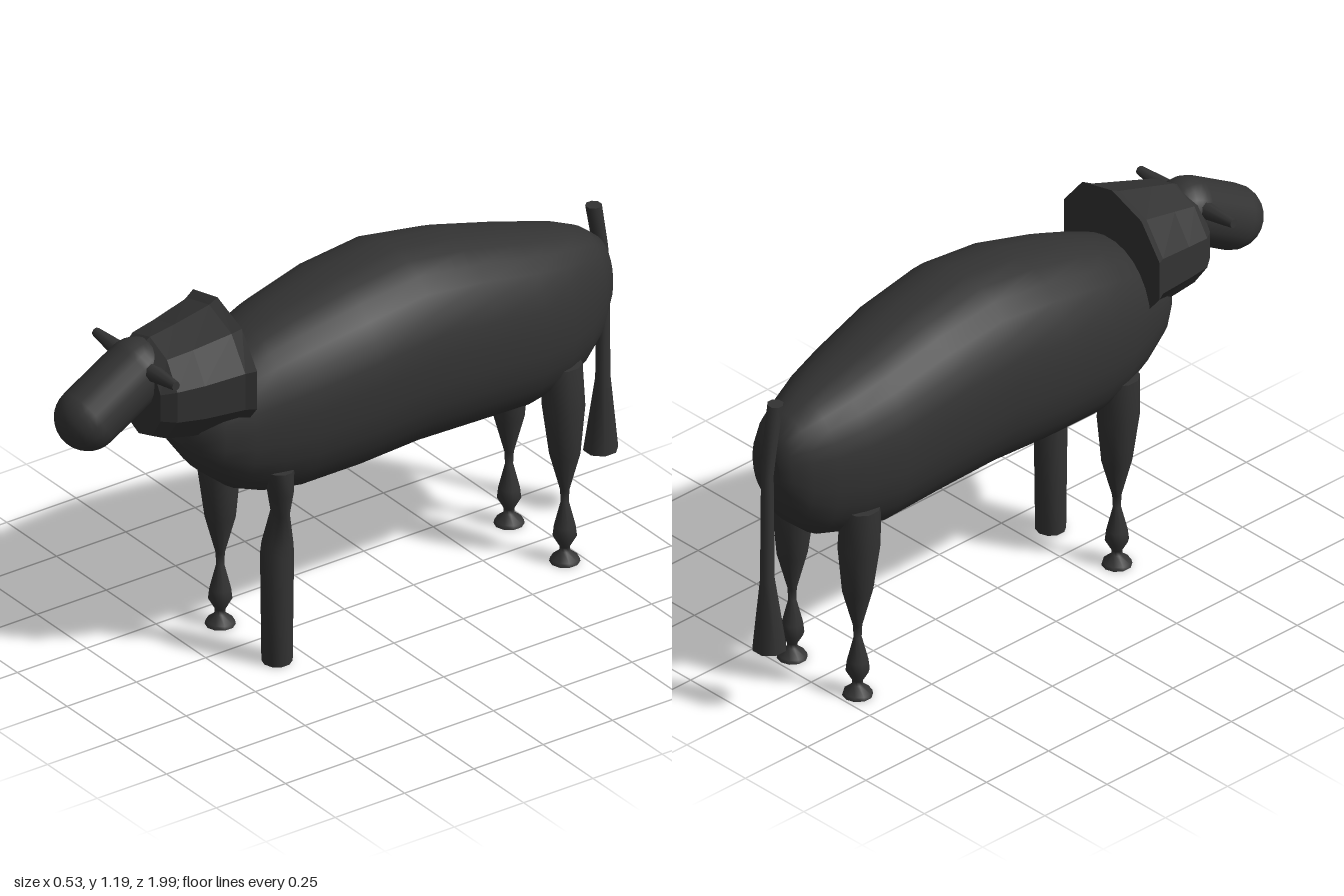
import * as THREE from 'three';

const hide = new THREE.MeshStandardMaterial({ color: 0x333333 });
hide.name = 'charcoal hide';

// Skin over elliptical rings [along, x, y, radiusX, radiusY] stacked along +z, closed at both ends.
function loft(rings, sides, { square = 1, skew = 0 } = {}) {
  const first = rings[0], last = rings[rings.length - 1];
  const tip = (r) => [r[0], r[1], r[2], 0, 0];
  // end rings are doubled so that the caps keep a sharp edge
  const all = [tip(first), first, first, ...rings.slice(1, -1), last, last, tip(last)];
  const pos = [], index = [];
  const p = (v) => Math.sign(v) * Math.abs(v) ** square;
  all.forEach(([t, x, y, rx, ry], i) => {
    for (let j = 0; j < sides; j++) {
      const a = ((j + 0.5) / sides) * Math.PI * 2;
      const dx = p(Math.cos(a)) * rx, dy = p(Math.sin(a)) * ry;
      pos.push(x + dx, y + dy, t + skew * dx);
      if (i === all.length - 1 || i === 1 || i === all.length - 3) continue;
      const k = (j + 1) % sides, n = i * sides;
      index.push(n + j, n + k, n + sides + j, n + k, n + sides + k, n + sides + j);
    }
  });
  const geo = new THREE.BufferGeometry();
  geo.setAttribute('position', new THREE.Float32BufferAttribute(pos, 3));
  geo.setIndex(index);
  geo.computeVertexNormals();
  return geo;
}

// Upright version: rings are [y, x, z, radiusX, radiusZ].
const column = (rings, sides) =>
  loft(rings.map(([y, x, z, rx, rz]) => [y, x, -z, rx, rz]), sides).rotateX(-Math.PI / 2);

export function createModel() {
  const model = new THREE.Group();
  model.name = 'animal';
  const add = (name, geo) => {
    const mesh = new THREE.Mesh(geo, hide);
    mesh.name = name;
    model.add(mesh);
    return mesh;
  };

  // Barrel body: [z, bottom, top, left edge, right edge]
  const body = [
    [-0.935, 0.78, 0.88, -0.06, 0.03],
    [-0.92, 0.71, 0.95, -0.1, 0.07],
    [-0.87, 0.62, 0.99, -0.14, 0.11],
    [-0.8, 0.56, 1.02, -0.175, 0.145],
    [-0.7, 0.53, 1.05, -0.21, 0.19],
    [-0.58, 0.515, 1.085, -0.235, 0.22],
    [-0.38, 0.53, 1.14, -0.255, 0.25],
    [-0.16, 0.54, 1.175, -0.268, 0.264],
    [0.05, 0.53, 1.15, -0.27, 0.266],
    [0.25, 0.52, 1.1, -0.245, 0.235],
    [0.35, 0.535, 1.065, -0.22, 0.212],
    [0.45, 0.575, 1.02, -0.19, 0.19],
    [0.54, 0.65, 0.95, -0.16, 0.16],
    [0.59, 0.72, 0.88, -0.12, 0.11],
    [0.605, 0.76, 0.84, -0.06, 0.05],
  ].map(([z, b, t, l, r]) => [z, (l + r) / 2, (b + t) / 2, (r - l) / 2, (t - b) / 2]);
  add('body', loft(body, 28, { square: 0.9 }));

  // Faceted ruff around the neck, wide end at the back
  const ruff = loft([
    [0.45, -0.01, 0.985, 0.235, 0.205],
    [0.48, -0.01, 0.98, 0.215, 0.195],
    [0.6, -0.02, 0.965, 0.185, 0.178],
    [0.68, -0.03, 0.96, 0.165, 0.163],
    [0.72, -0.03, 0.955, 0.13, 0.142],
  ], 10, { skew: 0.08 }).toNonIndexed();
  ruff.computeVertexNormals();
  add('ruff', ruff);

  // Drooping head
  const head = add('head', new THREE.CapsuleGeometry(0.1, 0.2, 8, 20));
  head.position.set(-0.04, 0.97, 0.81);
  head.rotation.x = Math.PI / 2 + 0.53;

  // Ears tapering outward
  for (const side of [1, -1]) {
    const ear = add(side > 0 ? 'leftEar' : 'rightEar', new THREE.CylinderGeometry(0.014, 0.03, 0.15, 8));
    ear.position.set(-0.037 + side * 0.127, 1.055, 0.725);
    ear.rotation.z = -side * (Math.PI / 2 - 0.07);
  }

  // Three turned legs with narrow ankles and flared feet
  const profile = [[0, 0.046], [0.012, 0.043], [0.035, 0.016], [0.05, 0.016], [0.085, 0.036],
    [0.12, 0.032], [0.2, 0.012], [0.24, 0.014], [0.36, 0.046], [0.52, 0.064], [0.66, 0.06]];
  const legs = { rightFrontLeg: [-0.143, 0.345], rightBackLeg: [-0.14, -0.695], leftBackLeg: [0.14, -0.695] };
  for (const [name, [x, z]] of Object.entries(legs)) {
    add(name, column(profile.map(([y, r]) => [y, x - 0.05 * Math.max(0, y - 0.4), z, r, r]), 10));
  }

  // Odd leg: a plain peg below a pinched knee
  add('leftFrontLeg', column([
    [0, 0.133, 0.338, 0.046, 0.046],
    [0.36, 0.133, 0.338, 0.05, 0.05],
    [0.4, 0.135, 0.338, 0.05, 0.045],
    [0.5, 0.145, 0.335, 0.04, 0.022],
    [0.58, 0.16, 0.345, 0.045, 0.036],
    [0.66, 0.165, 0.35, 0.042, 0.042],
  ], 10));

  // Tail hanging behind, flared at the tip
  add('tail', column([
    [0.22, -0.028, -0.945, 0.053, 0.053],
    [0.46, -0.028, -0.953, 0.023, 0.023],
    [0.82, -0.028, -0.953, 0.02, 0.02],
    [0.9, -0.026, -0.943, 0.023, 0.023],
    [1.05, -0.022, -0.915, 0.025, 0.025],
  ], 8));

  return model;
}
